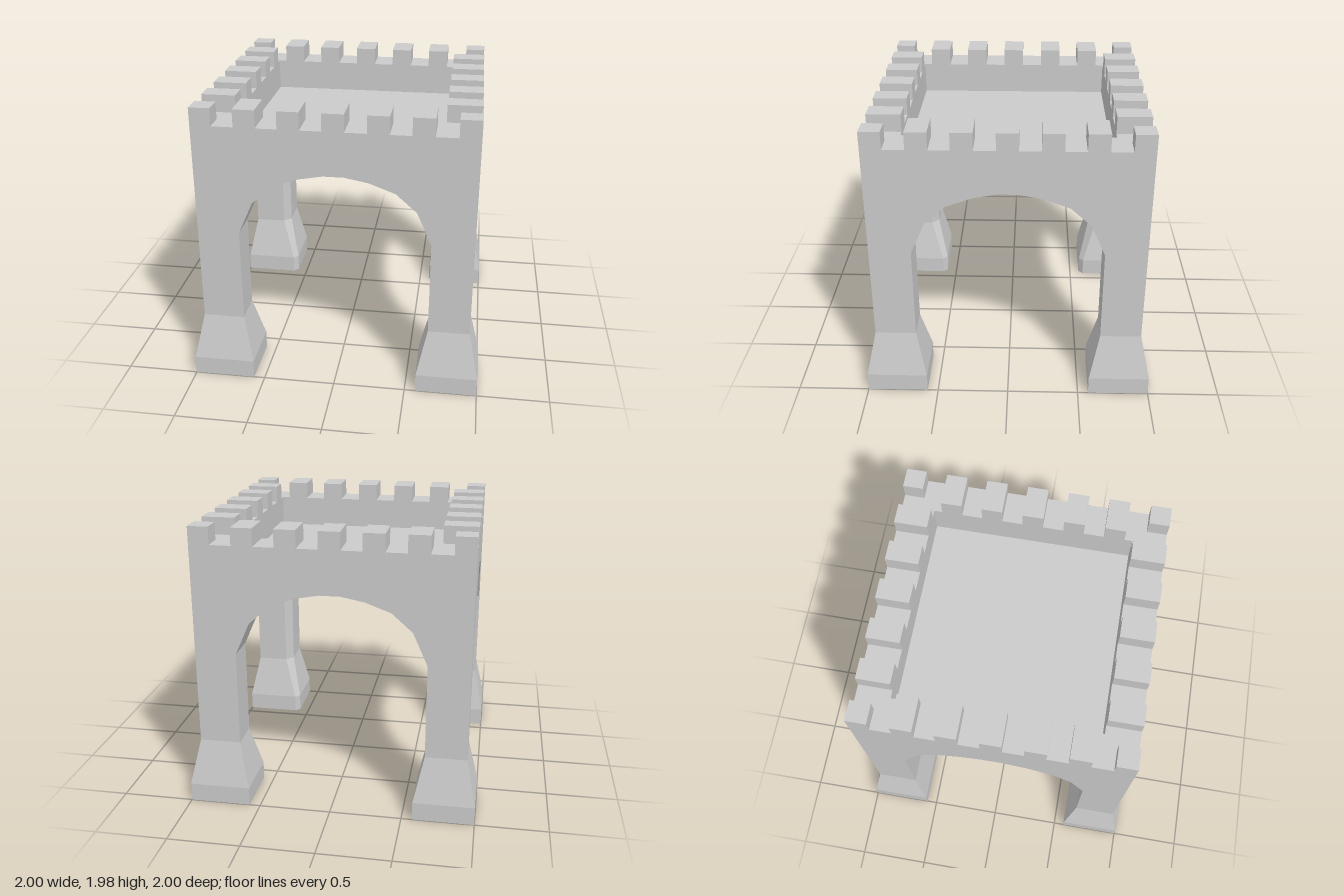
import * as THREE from 'three';

const OUT = 0.93, INN = 0.70, SPRING = 1.11, SILL = 1.86, TOP = 1.98;
const mat = new THREE.MeshStandardMaterial({ color: 0xcccccc, flatShading: true });

function add(parent, geo, name) {
  const mesh = new THREE.Mesh(geo, mat);
  mesh.name = name;
  parent.add(mesh);
  return mesh;
}

// Front wall: arch below, battlements above, ends mitred to meet the side walls
function wallGeometry() {
  const half = [[0.07, 1.555], [0.23, 1.525], [0.405, 1.46], [0.545, 1.335], [0.645, SPRING]];
  const pts = half.map(([x, y]) => [x, y]);
  pts.push([OUT, SPRING], [OUT, SILL]);
  for (const c of [0.5725, 0.2875, 0, -0.2875, -0.5725]) {
    const w = 0.072;
    pts.push([c + w, SILL], [c + w, TOP], [c - w, TOP], [c - w, SILL]);
  }
  pts.push([-OUT, SILL], [-OUT, SPRING]);
  for (const [x, y] of half.slice().reverse()) pts.push([-x, y]);
  const shape = new THREE.Shape(pts.map(([x, y]) => new THREE.Vector2(x, y)));
  const geo = new THREE.ExtrudeGeometry(shape, { depth: OUT - INN, bevelEnabled: false });
  geo.translate(0, 0, INN);
  const p = geo.attributes.position;
  for (let i = 0; i < p.count; i++) {
    if (Math.abs(p.getX(i)) > 0.9 && p.getZ(i) < 0.8) p.setX(i, Math.sign(p.getX(i)) * INN);
  }
  geo.computeVertexNormals();
  return geo;
}

// Pier in the +x +z corner: square with the inner corner cut off, flared at the foot
function pierGeometry() {
  const levels = [[0, 1, 0.575, 0.035], [0.13, 1, 0.575, 0.035],
    [0.45, OUT, 0.645, 0.055], [SPRING, OUT, 0.645, 0.055]];
  const rings = levels.map(([y, o, i, c]) =>
    [[o, o], [o, i], [i + c, i], [i, i + c], [i, o]].map(([x, z]) => [x, y, z]));
  const v = [];
  const tri = (a, b, c) => v.push(...a, ...b, ...c);
  for (let k = 0; k < rings.length - 1; k++) {
    const a = rings[k], b = rings[k + 1];
    for (let i = 0; i < 5; i++) {
      const j = (i + 1) % 5;
      tri(a[i], a[j], b[j]);
      tri(a[i], b[j], b[i]);
    }
  }
  const lo = rings[0], hi = rings[rings.length - 1];
  for (let i = 1; i < 4; i++) {
    tri(lo[0], lo[i + 1], lo[i]);
    tri(hi[0], hi[i], hi[i + 1]);
  }
  const geo = new THREE.BufferGeometry();
  geo.setAttribute('position', new THREE.Float32BufferAttribute(v, 3));
  geo.computeVertexNormals();
  return geo;
}

export function createModel() {
  const model = new THREE.Group();
  model.name = 'archedTower';
  const wall = wallGeometry(), pier = pierGeometry();
  const size = 0.14;
  const merlon = new THREE.BoxGeometry(size, TOP - SILL, size);
  merlon.translate(OUT - size / 2, (TOP + SILL) / 2, OUT - size / 2);

  // Four identical sides
  ['front', 'left', 'back', 'right'].forEach((name, i) => {
    const side = new THREE.Group();
    side.name = name + 'Side';
    side.rotation.y = i * Math.PI / 2;
    add(side, wall, 'archedWall');
    add(side, pier, 'cornerPier');
    add(side, merlon, 'cornerMerlon');
    model.add(side);
  });

  // Roof deck inside the parapet
  add(model, new THREE.BoxGeometry(INN * 2, 0.02, INN * 2), 'roofDeck').position.y = 1.63;
  return model;
}
